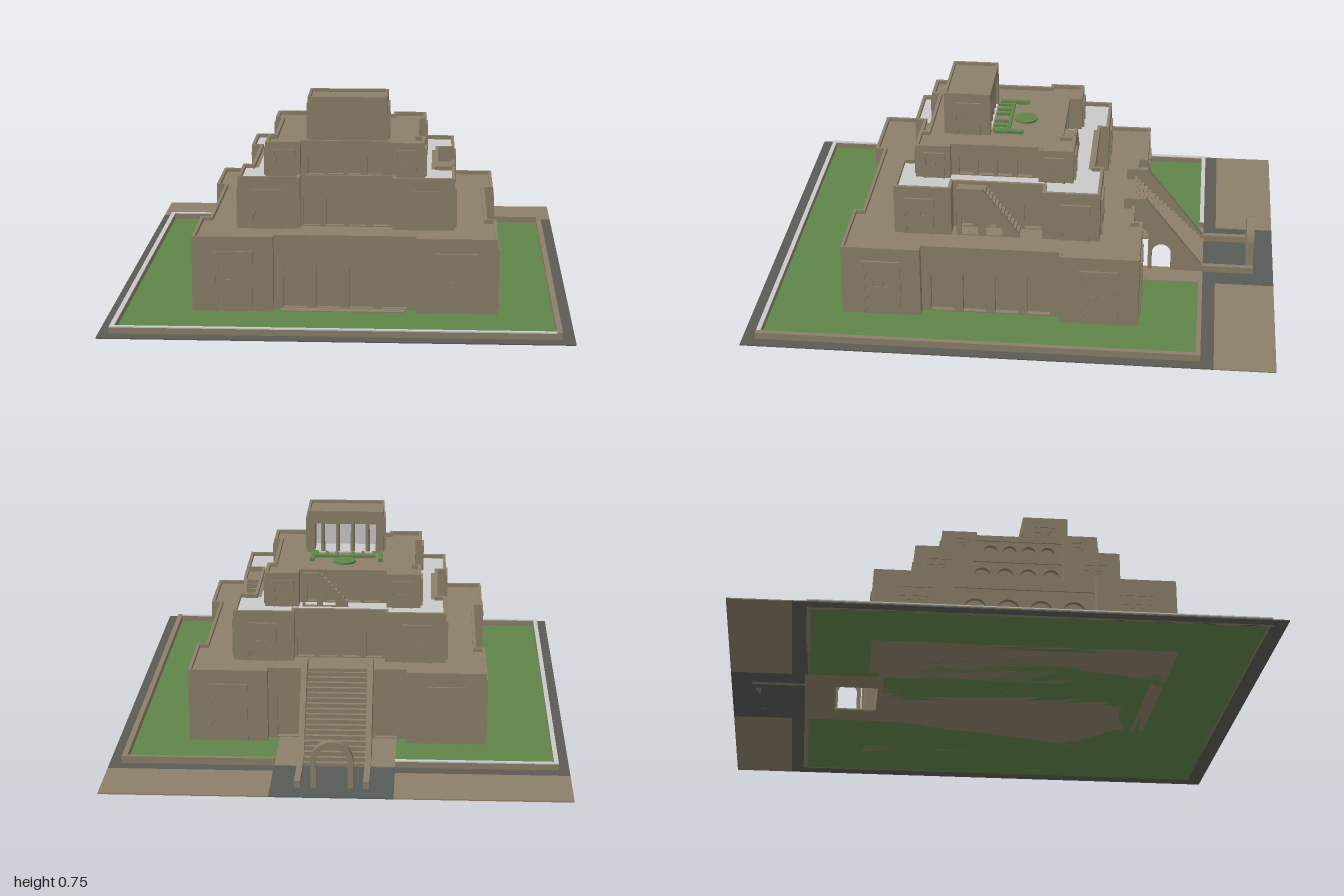
import * as THREE from 'three';

const mat = (name, color, extra = {}) => {
  const m = new THREE.MeshStandardMaterial({ color });
  m.name = name;
  return Object.assign(m, extra);
};

export function createModel() {
  const stone = mat('sandstone', 0x8c7f69);
  const grass = mat('grass', 0x5f8549);
  const pale = mat('pale paving', 0xc9c9c9);
  const road = mat('dark road', 0x5b5a54);
  const path = mat('slate path', 0x565b58);
  const root = new THREE.Group();
  root.name = 'terracedPalace';

  const add = (parent, name, geo, m) => {
    const mesh = new THREE.Mesh(geo, m);
    mesh.name = name;
    parent.add(mesh);
    return mesh;
  };
  // box given by its limits
  const box = (parent, name, m, x0, x1, y0, y1, z0, z1) => {
    const mesh = add(parent, name, new THREE.BoxGeometry(x1 - x0, y1 - y0, z1 - z0), m);
    mesh.position.set((x0 + x1) / 2, (y0 + y1) / 2, (z0 + z1) / 2);
    return mesh;
  };
  const poly = (pts) => new THREE.Shape(pts.map(([x, y]) => new THREE.Vector2(x, y)));
  const rect = (x0, x1, y0, y1) => poly([[x0, y0], [x1, y0], [x1, y1], [x0, y1]]);
  const extrude = (shape, depth) => new THREE.ExtrudeGeometry(shape, { depth, bevelEnabled: false, curveSegments: 10 });
  // round-headed outline
  const arch = (cx, w, y0, top) => {
    const s = new THREE.Shape();
    s.moveTo(cx - w / 2, y0);
    s.lineTo(cx + w / 2, y0);
    s.lineTo(cx + w / 2, top - w / 2);
    s.absarc(cx, top - w / 2, w / 2, 0, Math.PI, false);
    return s;
  };

  // stepped door surround with a leaf pierced by two slits, on a wall facing +z
  const door = (parent, cx, w, y0, h, z) => {
    const layers = [[1, 1, 0.85, 0.93, 0.008], [0.85, 0.93, 0.72, 0.78, 0.005]];
    for (const [ow, oh, iw, ih, d] of layers) {
      const s = poly([
        [cx - w * ow / 2, y0], [cx - w * iw / 2, y0], [cx - w * iw / 2, y0 + h * ih], [cx + w * iw / 2, y0 + h * ih],
        [cx + w * iw / 2, y0], [cx + w * ow / 2, y0], [cx + w * ow / 2, y0 + h * oh], [cx - w * ow / 2, y0 + h * oh]]);
      add(parent, 'doorSurround', extrude(s, d), stone).position.z = z;
    }
    const leaf = rect(cx - w * 0.36, cx + w * 0.36, y0, y0 + h * 0.78);
    for (const s of [-1, 1]) leaf.holes.push(arch(cx + s * w * 0.13, w * 0.12, y0 + h * 0.52, y0 + h * 0.72));
    add(parent, 'doorLeaf', extrude(leaf, 0.003), stone).position.z = z;
  };

  // plan of a tier: a rectangle with a recess in the middle of each side
  const plan = (hx, hz, a, rec, extra = 0) => {
    const pts = [];
    for (let k = 0; k < 4; k++) {
      const [w, o] = k % 2 ? [hz, hx] : [hx, hz];
      const r = rec[k] + extra;
      const c = Math.round(Math.cos(k * Math.PI / 2)), s = Math.round(Math.sin(k * Math.PI / 2));
      for (const [x, z] of [[-w, o], [-a, o], [-a, o - r], [a, o - r], [a, o]]) pts.push([x * c + z * s, x * s - z * c]);
    }
    return poly(pts);
  };

  const tier = (t) => {
    const g = new THREE.Group();
    g.name = t.name;
    g.position.set(t.cx, 0, t.cz);
    root.add(g);
    const deep = 0.025, lip = 0.015, thick = 0.012;
    const core = add(g, 'core', extrude(plan(t.hx, t.hz, t.a, t.rec, deep), t.y1 - lip - t.y0), [t.roof, stone]);
    core.rotation.x = -Math.PI / 2;
    core.position.y = t.y0;
    const rim = plan(t.hx, t.hz, t.a, t.rec);
    rim.holes.push(plan(t.hx - thick, t.hz - thick, t.a + thick, t.rec));
    const parapet = add(g, 'parapet', extrude(rim, lip), stone);
    parapet.rotation.x = -Math.PI / 2;
    parapet.position.y = t.y1 - lip;
    for (let k = 0; k < 4; k++) {
      const side = new THREE.Group();
      side.name = 'facade';
      side.rotation.y = k * Math.PI / 2;
      g.add(side);
      const out = k % 2 ? t.hx : t.hz;
      const face = out - t.rec[k];
      // arcade between the corner towers
      const panel = rect(-t.a, t.a, t.y0, t.band);
      for (let i = 0; i < 4; i++) panel.holes.push(arch((i - 1.5) * t.gap, t.archW, t.base + 0.004, t.archTop));
      add(side, 'arcade', extrude(panel, deep - 0.005), stone).position.z = face - deep;
      box(side, 'frieze', stone, -t.a, t.a, t.band, t.y1 - lip, face - deep, face);
      for (const s of [-1, 1]) door(side, s * t.doorX, t.doorW, t.base, t.doorH, out);
    }
  };

  tier({ name: 'lowerTier', cx: 0.0175, cz: 0.0875, hx: 0.5675, hz: 0.5675, a: 0.265, rec: [0.035, 0.035, 0.035, 0.035],
    y0: 0, base: 0.005, y1: 0.29, band: 0.245, gap: 0.124, archW: 0.088, archTop: 0.205, doorX: 0.415, doorW: 0.148, doorH: 0.23, roof: stone });
  tier({ name: 'middleTier', cx: 0.015, cz: 0.075, hx: 0.41, hz: 0.395, a: 0.175, rec: [0.035, 0.065, 0.035, 0.035],
    y0: 0.27, base: 0.275, y1: 0.475, band: 0.435, gap: 0.089, archW: 0.064, archTop: 0.412, doorX: 0.3, doorW: 0.116, doorH: 0.153, roof: pale });
  tier({ name: 'upperTier', cx: 0.0075, cz: 0.095, hx: 0.3025, hz: 0.305, a: 0.17, rec: [0.03, 0.025, 0.05, 0.025],
    y0: 0.455, base: 0.46, y1: 0.595, band: 0.572, gap: 0.075, archW: 0.056, archTop: 0.555, doorX: 0.232, doorW: 0.08, doorH: 0.107, roof: stone });

  // staircase going down toward -z, hollow below, between side walls
  const stairs = (o) => {
    const g = new THREE.Group();
    g.name = o.name;
    root.add(g);
    for (const x of o.railX) {
      const s = poly(o.rail);
      for (const h of o.holes) s.holes.push(arch(...h));
      const m = add(g, 'stairWall', extrude(s, o.t), stone);
      m.rotation.y = Math.PI / 2;
      m.position.x = x;
    }
    const run = (o.u1 - o.u0) / o.n, rise = (o.top - o.foot) / o.n;
    for (let i = 0; i < o.n; i++) {
      const y = o.top - i * rise, z = -(o.u0 + i * run);
      box(g, 'step', stone, o.x0, o.x1, Math.max(y - rise * 1.8, o.foot), y, z - run, z);
    }
    if (o.landing !== undefined) box(g, 'landing', stone, o.x0, o.x1, o.top - 0.02, o.top, -o.u0, -o.landing);
    return g;
  };
  stairs({ name: 'mainStairs', railX: [-0.12, 0.13], t: 0.022, x0: -0.1, x1: 0.13, u0: 0.44, u1: 0.72, top: 0.278, foot: 0.002, n: 18,
    rail: [[0.4, 0], [0.92, 0], [0.92, 0.03], [0.715, 0.03], [0.485, 0.32], [0.4, 0.32]],
    holes: [[0.553, 0.075, 0.004, 0.12], [0.465, 0.07, 0.004, 0.19]] });
  stairs({ name: 'sideStairs', railX: [0.412], t: 0.012, x0: 0.355, x1: 0.412, u0: -0.13, u1: 0.01, top: 0.462, foot: 0.276, n: 12, landing: -0.23,
    rail: [[-0.23, 0.272], [0.015, 0.272], [0.01, 0.29], [-0.13, 0.475], [-0.23, 0.475]],
    holes: [[-0.085, 0.065, 0.28, 0.328], [-0.18, 0.065, 0.28, 0.4]] });
  stairs({ name: 'upperStairs', railX: [0.2], t: 0.01, x0: 0.16, x1: 0.2, u0: -0.1, u1: 0.01, top: 0.58, foot: 0.461, n: 8, landing: -0.165,
    rail: [[-0.165, 0.458], [0.015, 0.458], [0.01, 0.475], [-0.1, 0.595], [-0.165, 0.595]],
    holes: [[-0.06, 0.05, 0.464, 0.505], [-0.13, 0.045, 0.464, 0.55]] }).rotation.y = Math.PI / 2;

  // pavilion on the top terrace, open to the back through columns
  const hut = new THREE.Group();
  hut.name = 'pavilion';
  root.add(hut);
  const [hx0, hx1, hz0, hz1] = [-0.14, 0.165, 0.125, 0.305];
  box(hut, 'frontWall', stone, hx0, hx1, 0.57, 0.735, hz1 - 0.06, hz1);
  box(hut, 'innerWall', pale, hx0 + 0.03, hx1 - 0.03, 0.58, 0.7, hz1 - 0.065, hz1 - 0.06);
  box(hut, 'floor', pale, hx0 + 0.03, hx1 - 0.03, 0.578, 0.584, hz0, hz1 - 0.065);
  for (const x of [hx0, hx1 - 0.03]) box(hut, 'sideWall', stone, x, x + 0.03, 0.57, 0.735, hz0, hz1 - 0.06);
  box(hut, 'roof', stone, hx0, hx1, 0.7, 0.74, hz0, hz1);
  for (const x of [hx0, hx1 - 0.01]) box(hut, 'roofEdge', stone, x, x + 0.01, 0.74, 0.752, hz0, hz1);
  for (const z of [hz0, hz1 - 0.01]) box(hut, 'roofEdge', stone, hx0 + 0.01, hx1 - 0.01, 0.74, 0.752, z, z + 0.01);
  for (let i = 0; i < 4; i++) {
    add(hut, 'column', new THREE.CylinderGeometry(0.008, 0.009, 0.12, 12), stone).position.set(-0.077 + i * 0.06, 0.64, 0.138);
  }
  for (const s of [-1, 1]) {
    const side = new THREE.Group();
    side.name = 'sideDoor';
    side.position.set(0.0125, 0, 0.213);
    side.rotation.y = s * Math.PI / 2;
    hut.add(side);
    door(side, 0, 0.1, 0.58, 0.135, 0.1525);
  }

  // roof garden
  add(root, 'roundBed', new THREE.CylinderGeometry(0.045, 0.045, 0.008, 28), grass).position.set(0.01, 0.584, 0);
  for (const x of [-0.14, 0.13]) box(root, 'longBed', grass, x, x + 0.018, 0.578, 0.592, 0.0, 0.115);
  box(root, 'crossBed', grass, -0.11, 0.13, 0.578, 0.59, 0.053, 0.066);
  for (const x of [-0.11, -0.065, -0.025, 0.04, 0.08, 0.118]) box(root, 'smallBed', grass, x, x + 0.012, 0.578, 0.59, 0.066, 0.12);

  // ground plates
  const plate = (name, m, x0, x1, z0, z1, y = 0.004) => box(root, name, m, x0, x1, 0, y, z0, z1);
  plate('lawn', grass, -0.8, -0.21, -0.71, 0.94);
  plate('lawn', grass, 0.24, 0.8, -0.71, 0.94);
  plate('lawn', grass, -0.21, 0.24, -0.42, 0.94);
  for (const s of [-1, 1]) plate('road', road, s < 0 ? -0.855 : 0.8, s < 0 ? -0.8 : 0.855, -0.77, 1);
  plate('road', road, -0.8, 0.8, 0.94, 1);
  plate('road', road, -0.8, -0.21, -0.77, -0.71);
  plate('road', road, 0.24, 0.8, -0.77, -0.71);
  plate('forecourt', stone, -0.855, -0.21, -1, -0.77);
  plate('forecourt', stone, 0.24, 0.855, -1, -0.77);
  plate('entrancePath', path, -0.21, 0.24, -1, -0.72);
  plate('stairCourt', stone, -0.21, -0.1, -0.72, -0.42, 0.006);
  plate('stairCourt', stone, 0.13, 0.24, -0.72, -0.42, 0.006);
  plate('stairCourt', stone, -0.1, 0.13, -0.72, -0.6);
  plate('frontPaving', stone, -0.22, 0.24, 0.6, 0.652, 0.007);
  plate('sidePaving', stone, -0.548, -0.5, -0.177, 0.352, 0.007);

  // boundary wall, with a pale coping on the right, front and back-right runs
  const walls = [
    [-0.815, -0.798, -0.72, 0.95, true], [-0.798, 0.79, 0.933, 0.95, true], [-0.798, -0.21, -0.72, -0.703, true],
    [0.79, 0.81, -0.72, 0.95, false], [0.24, 0.79, -0.72, -0.703, false]];
  for (const [x0, x1, z0, z1, coped] of walls) {
    box(root, 'boundaryWall', stone, x0, x1, 0, coped ? 0.027 : 0.031, z0, z1);
    if (coped) box(root, 'coping', pale, x0, x1, 0.027, 0.031, z0, z1);
  }

  // free-standing gate arch before the stairs
  const gate = arch(0.015, 0.155, 0, 0.182);
  gate.holes.push(arch(0.015, 0.115, 0.0005, 0.162));
  add(root, 'gateArch', extrude(gate, 0.03), stone).position.z = -0.92;
  return root;
}
